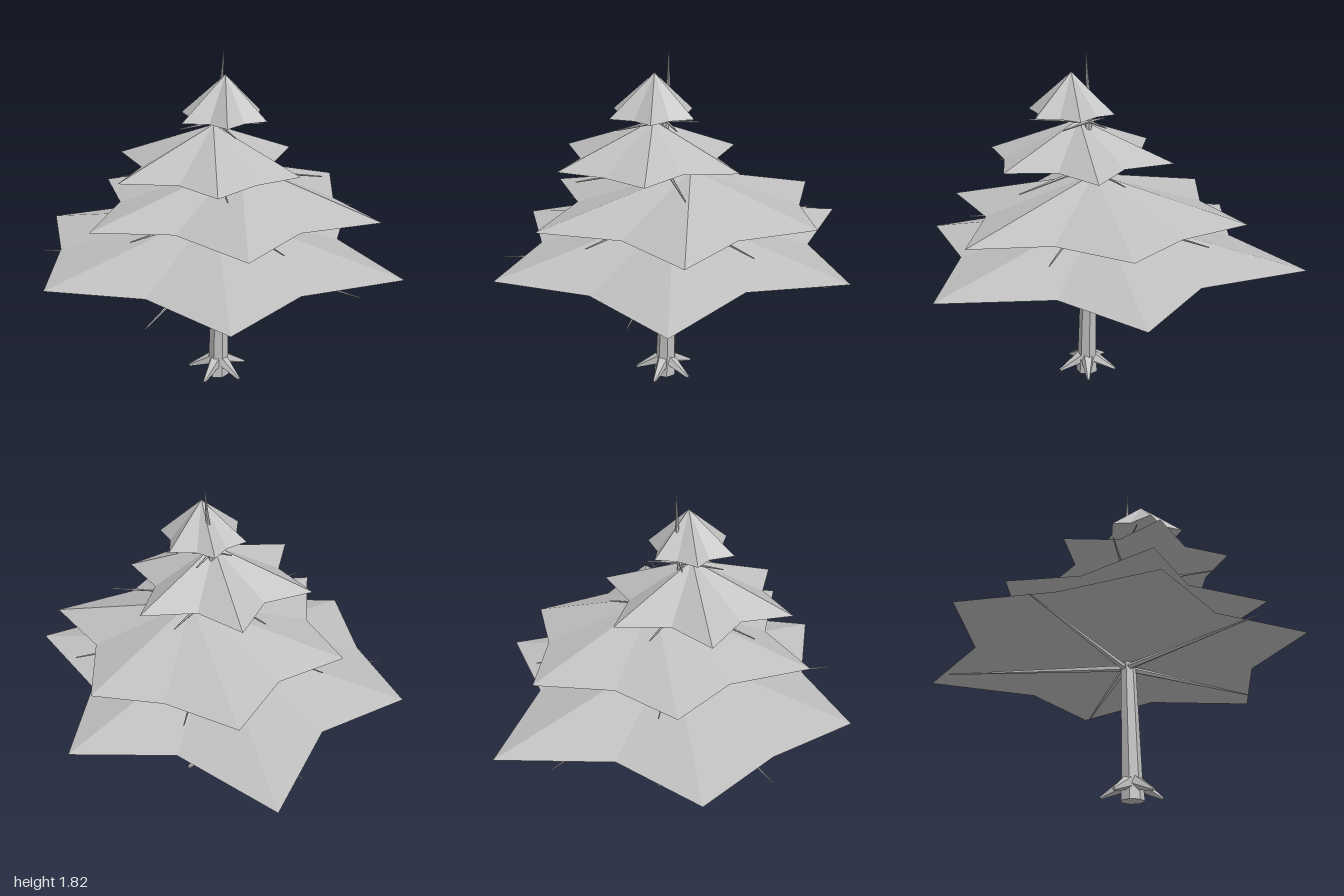
import * as THREE from 'three';

const bark = new THREE.MeshStandardMaterial({ color: 0xbfbfbf });
bark.name = 'plain grey';
bark.flatShading = true;

// Each tier: rim height, apex, underside hub height, and rim corners (x, z), tips and notches in turn
const TIERS = [
  { y: 0.765, apex: [0.0, 0.97, 0.03], hub: 0.743, rim: [
    1, 0.02, 0.62, -0.35, 0.535, -0.945, -0.02, -0.725, -0.52, -0.85, -0.71, -0.39,
    -1, 0.02, -0.64, 0.375, -0.52, 0.89, -0.02, 0.775, 0.515, 0.935, 0.6, 0.36] },
  { y: 1.02, apex: [0.13, 1.23, 0.08], hub: 1.0, rim: [
    0.82, 0.04, 0.6, -0.25, 0.475, -0.63, 0.08, -0.51, -0.295, -0.605, -0.42, -0.24,
    -0.755, 0.05, -0.43, 0.31, -0.335, 0.77, 0.08, 0.64, 0.5, 0.77, 0.55, 0.36] },
  { y: 1.265, apex: [-0.07, 1.47, 0.12], hub: 1.24, rim: [
    0.435, 0.12, 0.21, -0.06, 0.165, -0.335, -0.1, -0.225, -0.355, -0.325, -0.4, -0.04,
    -0.625, 0.12, -0.4, 0.31, -0.355, 0.56, -0.1, 0.515, 0.15, 0.545, 0.2, 0.28] },
  { y: 1.515, apex: [-0.03, 1.725, 0.165], hub: 1.487, rim: [
    0.195, 0.16, 0.1, 0.06, 0.07, -0.04, -0.04, -0.01, -0.16, -0.03, -0.185, 0.07,
    -0.285, 0.16, -0.185, 0.25, -0.165, 0.37, -0.04, 0.34, 0.075, 0.37, 0.11, 0.25] },
];

// Branch whorls: hub on the trunk, rod thickness, and tips (x, z)
const WHORLS = [
  { hub: [0, 0.72, 0.07], r: 0.018, tips: [[0.89, 0.02], [0.265, -0.85], [-0.75, -0.52], [-0.75, 0.55], [0.265, 0.88]] },
  { hub: [-0.01, 0.97, 0.08], r: 0.015, tips: [[0.655, 0.4], [0.6, -0.385], [-0.18, -0.57], [-0.59, 0.16], [-0.08, 0.71]] },
  { hub: [-0.03, 1.217, 0.08], r: 0.012, tips: [[0.34, 0.49], [0.34, -0.03], [-0.02, -0.31], [-0.49, -0.09], [-0.27, 0.52]] },
  { hub: [-0.02, 1.466, 0.08], r: 0.009, tips: [[0.145, 0.24], [0.14, 0.02], [-0.07, -0.015], [-0.25, 0.09], [-0.12, 0.375]] },
];

// Trunk sections: x, y, z, radius
const TRUNK = [
  [-0.02, 0, 0.098, 0.063], [-0.015, 0.12, 0.096, 0.055], [0, 0.72, 0.086, 0.042],
  [-0.02, 0.97, 0.08, 0.033], [-0.03, 1.22, 0.08, 0.025], [-0.02, 1.47, 0.08, 0.017],
  [0.0, 1.62, 0.085, 0.011], [0.01, 1.82, 0.096, 0.002],
];

function mesh(name, geometry) {
  const m = new THREE.Mesh(geometry, bark);
  m.name = name;
  return m;
}

function fromTriangles(points) {
  const g = new THREE.BufferGeometry();
  g.setAttribute('position', new THREE.Float32BufferAttribute(points.flat(), 3));
  g.computeVertexNormals();
  return g;
}

// Star-shaped cone with a shallow inverted cone beneath
function starTier({ y, apex, hub, rim }) {
  const tris = [];
  const corner = (i) => [rim[(i * 2) % rim.length], y, rim[(i * 2 + 1) % rim.length]];
  const under = [(rim[0] + rim[12]) / 2, hub, (rim[1] + rim[13]) / 2];
  for (let i = 0; i < rim.length / 2; i++) {
    const a = corner(i), b = corner(i + 1);
    tris.push(a, b, apex, b, a, under);
  }
  return fromTriangles(tris);
}

// Tapered rod between two points
function rod(name, from, to, r0, r1, sides) {
  const a = new THREE.Vector3(...from), b = new THREE.Vector3(...to);
  const dir = b.clone().sub(a);
  const m = mesh(name, new THREE.CylinderGeometry(r1, r0, dir.length(), sides));
  m.position.copy(a).add(b).multiplyScalar(0.5);
  m.quaternion.setFromUnitVectors(new THREE.Vector3(0, 1, 0), dir.normalize());
  return m;
}

// Faceted trunk lofted through its sections
function trunkGeometry(sides = 7) {
  const tris = [];
  const at = ([x, y, z, r], i) => {
    const t = (i / sides) * Math.PI * 2;
    return [x + r * Math.cos(t), y, z - r * Math.sin(t)];
  };
  for (let i = 0; i < sides; i++) {
    for (let k = 0; k + 1 < TRUNK.length; k++) {
      const a = at(TRUNK[k], i), b = at(TRUNK[k], i + 1);
      const c = at(TRUNK[k + 1], i + 1), d = at(TRUNK[k + 1], i);
      tris.push(a, b, c, a, c, d);
    }
    const base = TRUNK[0], top = TRUNK[TRUNK.length - 1];
    tris.push(base.slice(0, 3), at(base, i + 1), at(base, i));
    tris.push(top.slice(0, 3), at(top, i), at(top, i + 1));
  }
  return fromTriangles(tris);
}

export function createModel() {
  const tree = new THREE.Group();
  tree.name = 'tree';
  tree.add(mesh('trunk', trunkGeometry()));

  // Splayed roots
  const roots = new THREE.Group();
  roots.name = 'roots';
  for (let i = 0; i < 5; i++) {
    const t = ((9 + i * 72) * Math.PI) / 180, c = Math.cos(t), s = Math.sin(t);
    roots.add(rod('root', [-0.018 + 0.03 * c, 0.09, 0.097 + 0.03 * s],
      [-0.018 + 0.165 * c, 0.028, 0.097 + 0.165 * s], 0.038, 0.008, 5));
  }
  tree.add(roots);

  // Bare branches under each tier
  for (const { hub, r, tips } of WHORLS) {
    const whorl = new THREE.Group();
    whorl.name = 'branches';
    for (const [x, z] of tips) whorl.add(rod('branch', hub, [x, hub[1], z], r, 0.003, 5));
    tree.add(whorl);
  }

  // Foliage
  for (const tier of TIERS) tree.add(mesh('foliageTier', starTier(tier)));
  return tree;
}
